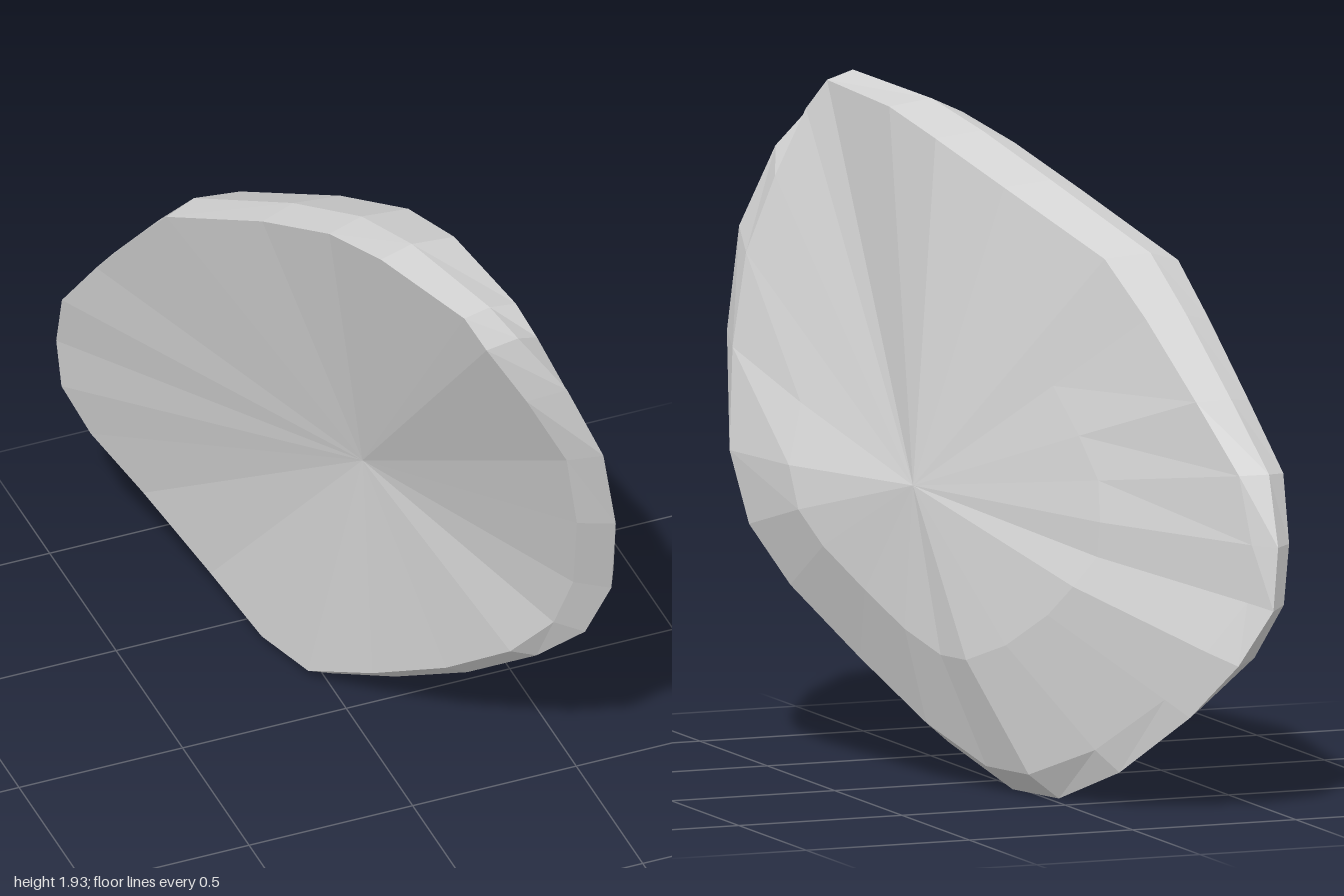
import * as THREE from 'three';

const { clamp, lerp } = THREE.MathUtils;

// Rim outline, clockwise seen from +x: z, y, x of the right edge, x of the left edge
const RIM = [
  [0.80, 1.93, 0.05, 0.20], [0.40, 1.90, -0.05, 0.17], [0.15, 1.84, -0.11, 0.13],
  [-0.12, 1.73, -0.21, 0.03], [-0.46, 1.56, -0.37, -0.14], [-0.60, 1.40, -0.41, -0.21],
  [-0.78, 1.18, -0.46, -0.29], [-0.92, 0.98, -0.51, -0.37], [-0.99, 0.78, -0.50, -0.39],
  [-1.00, 0.60, -0.48, -0.38], [-0.95, 0.44, -0.41, -0.28], [-0.82, 0.28, -0.30, -0.20],
  [-0.60, 0.10, -0.18, -0.07], [-0.38, 0.00, -0.11, 0.05], [-0.17, 0.00, -0.05, 0.10],
  [0.05, 0.11, 0.06, 0.20], [0.32, 0.28, 0.18, 0.30], [0.57, 0.48, 0.28, 0.42],
  [0.73, 0.65, 0.36, 0.49], [0.84, 0.87, 0.38, 0.51], [0.95, 1.18, 0.35, 0.46],
  [1.00, 1.47, 0.30, 0.40], [0.96, 1.70, 0.19, 0.32], [0.88, 1.86, 0.09, 0.24],
];
const HUB = { y: 0.86, right: 0.05, left: 0.26 };

// How far a rim point belongs to the underside or to the front end, 0 to 1
const lowness = (y) => clamp((1.1 - y) / 0.6, 0, 1);
const frontness = (z, y) => clamp((z - 0.55) / 0.2, 0, 1) * clamp((1.95 - y) / 0.3, 0, 1);

const at = (x, y, z, scale) => [x, HUB.y + (y - HUB.y) * scale, z * scale];

// Loop on the right face, t = 0 at the hub and 1 at its edge
const rightRing = (t) => RIM.map(([z, y, right]) => {
  const edge = lerp(0.96, 0.92, frontness(z, y));
  return at(lerp(HUB.right, right, t), y, z, t * edge);
});

// Loop on the left face, domed over its lower half
const leftRing = (t, bulge = 0) => RIM.map(([z, y, , left]) => {
  const edge = lerp(lerp(0.985, 0.92, lowness(y)), 0.9, frontness(z, y));
  const dome = bulge * clamp((1.3 - y) / 0.5, 0, 1);
  return at(lerp(HUB.left, left, t) + dome, y, z, t * edge);
});

// Outermost loop, between the two faces
const rimRing = () => RIM.map(([z, y, right, left]) => {
  const side = lerp(lerp(0.4, 0.8, frontness(z, y)), 0.5, lowness(y));
  return at(lerp(right, left, side), y, z, 1);
});

// Skin neighbouring loops with quads, which shrink to triangles at the hubs
function loft(rings) {
  const n = RIM.length;
  const index = [];
  for (let r = 0; r < rings.length - 1; r++) {
    for (let i = 0; i < n; i++) {
      const a = r * n + i, b = r * n + (i + 1) % n, c = a + n, d = b + n;
      if (r > 0) index.push(b, a, c);
      if (r < rings.length - 2) index.push(b, c, d);
    }
  }
  const geometry = new THREE.BufferGeometry();
  geometry.setAttribute('position', new THREE.Float32BufferAttribute(rings.flat(2), 3));
  geometry.setIndex(index);
  geometry.computeVertexNormals();
  return geometry;
}

export function createModel() {
  const stone = new THREE.MeshStandardMaterial({ color: 0xd2d2d2, flatShading: true });
  stone.name = 'stone grey';

  // Slanted slab: right face, bevelled rim, slightly domed left face
  const slab = new THREE.Mesh(loft([
    rightRing(0), rightRing(0.6), rightRing(1),
    rimRing(),
    leftRing(1), leftRing(0.6, 0.05), leftRing(0),
  ]), stone);
  slab.name = 'stoneSlab';

  const model = new THREE.Group();
  model.name = 'stoneFlake';
  model.add(slab);
  return model;
}
